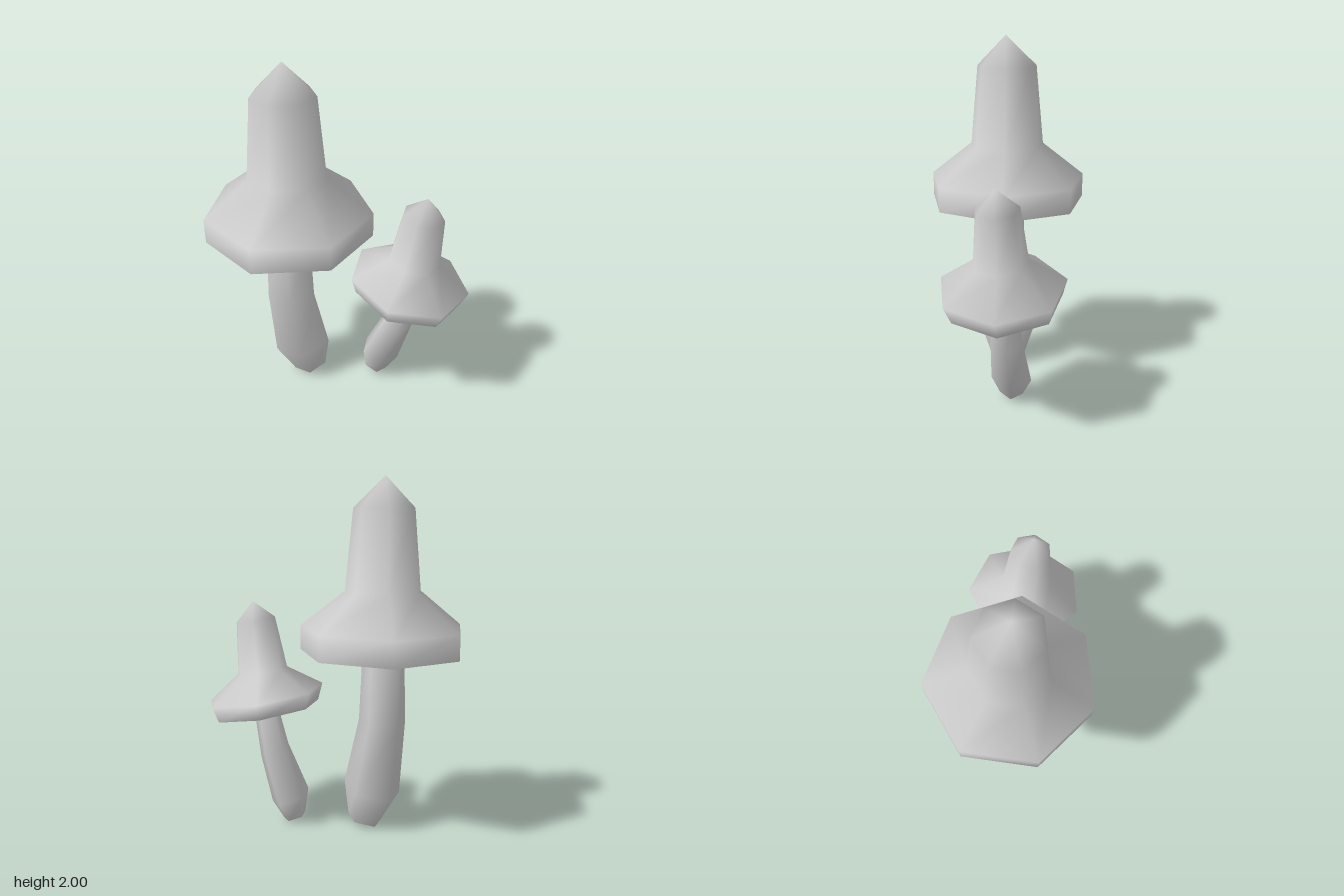
import * as THREE from 'three';

const rad = THREE.MathUtils.degToRad;

// Lofts rings [x, y, z, radius, tiltZ, tiltX] upward to a tip; the flat underside keeps a sharp edge.
function loft(name, material, sides, turn, rings, tip) {
  const pos = [], index = [];
  const ringPoint = ([x, y, z, r, tz = 0, tx = 0], j) => {
    const a = rad(turn) + (j / sides) * Math.PI * 2;
    return new THREE.Vector3(r * Math.cos(a), 0, r * Math.sin(a))
      .applyEuler(new THREE.Euler(rad(tx), 0, rad(tz)))
      .add(new THREE.Vector3(x, y, z));
  };
  const addRing = (ring) => {
    for (let j = 0; j < sides; j++) pos.push(...ringPoint(ring, j).toArray());
  };

  // Skin
  rings.forEach(addRing);
  const apex = pos.length / 3;
  pos.push(...tip);
  for (let i = 0; i < rings.length; i++) {
    for (let j = 0; j < sides; j++) {
      const k = (j + 1) % sides;
      const a = i * sides + j, b = i * sides + k;
      if (i === rings.length - 1) index.push(a, apex, b);
      else index.push(a, a + sides, b, b, a + sides, b + sides);
    }
  }

  // Underside with its own vertices
  const base = pos.length / 3;
  addRing(rings[0]);
  pos.push(...rings[0].slice(0, 3));
  for (let j = 0; j < sides; j++) index.push(base + sides, base + j, base + ((j + 1) % sides));

  const geometry = new THREE.BufferGeometry();
  geometry.setAttribute('position', new THREE.Float32BufferAttribute(pos, 3));
  geometry.setIndex(index);
  geometry.computeVertexNormals();
  const mesh = new THREE.Mesh(geometry, material);
  mesh.name = name;
  return mesh;
}

export function createModel() {
  const grey = new THREE.MeshStandardMaterial({ color: 0xcccccc });
  grey.name = 'plain grey';

  // Tall mushroom
  const tall = new THREE.Group();
  tall.name = 'tallMushroom';
  tall.add(
    loft('tallStem', grey, 5, 15, [
      [-0.2, 0.025, 0, 0.103, 13],
      [-0.243, 0.213, -0.005, 0.174, 12],
      [-0.297, 0.62, 0.02, 0.142, 1],
      [-0.299, 1.06, 0.01, 0.124],
    ], [-0.299, 1.1, 0.01]),
    loft('tallCap', grey, 7, 5, [
      [-0.292, 1.035, 0.005, 0.473],
      [-0.292, 1.175, 0.005, 0.473],
      [-0.295, 1.375, 0.005, 0.22],
      [-0.295, 1.83, 0.005, 0.176],
    ], [-0.295, 2, 0.01])
  );

  // Short leaning mushroom
  const short = new THREE.Group();
  short.name = 'shortMushroom';
  short.add(
    loft('shortStem', grey, 5, 8, [
      [0.216, 0.026, 0, 0.069, -18],
      [0.241, 0.148, 0, 0.119, -19],
      [0.338, 0.42, 0.03, 0.094, -26],
      [0.393, 0.69, 0.055, 0.073, -10, 4],
    ], [0.4, 0.73, 0.058]),
    loft('shortCap', grey, 7, 9, [
      [0.388, 0.668, 0.05, 0.316, -9.5, 4],
      [0.396, 0.76, 0.06, 0.349, -9.5, 3],
      [0.413, 0.897, 0.07, 0.15, -9.5, 4],
      [0.45, 1.195, 0.085, 0.117, -10, 4],
    ], [0.465, 1.305, 0.097])
  );

  const model = new THREE.Group();
  model.name = 'mushroomPair';
  model.add(tall, short);
  return model;
}
